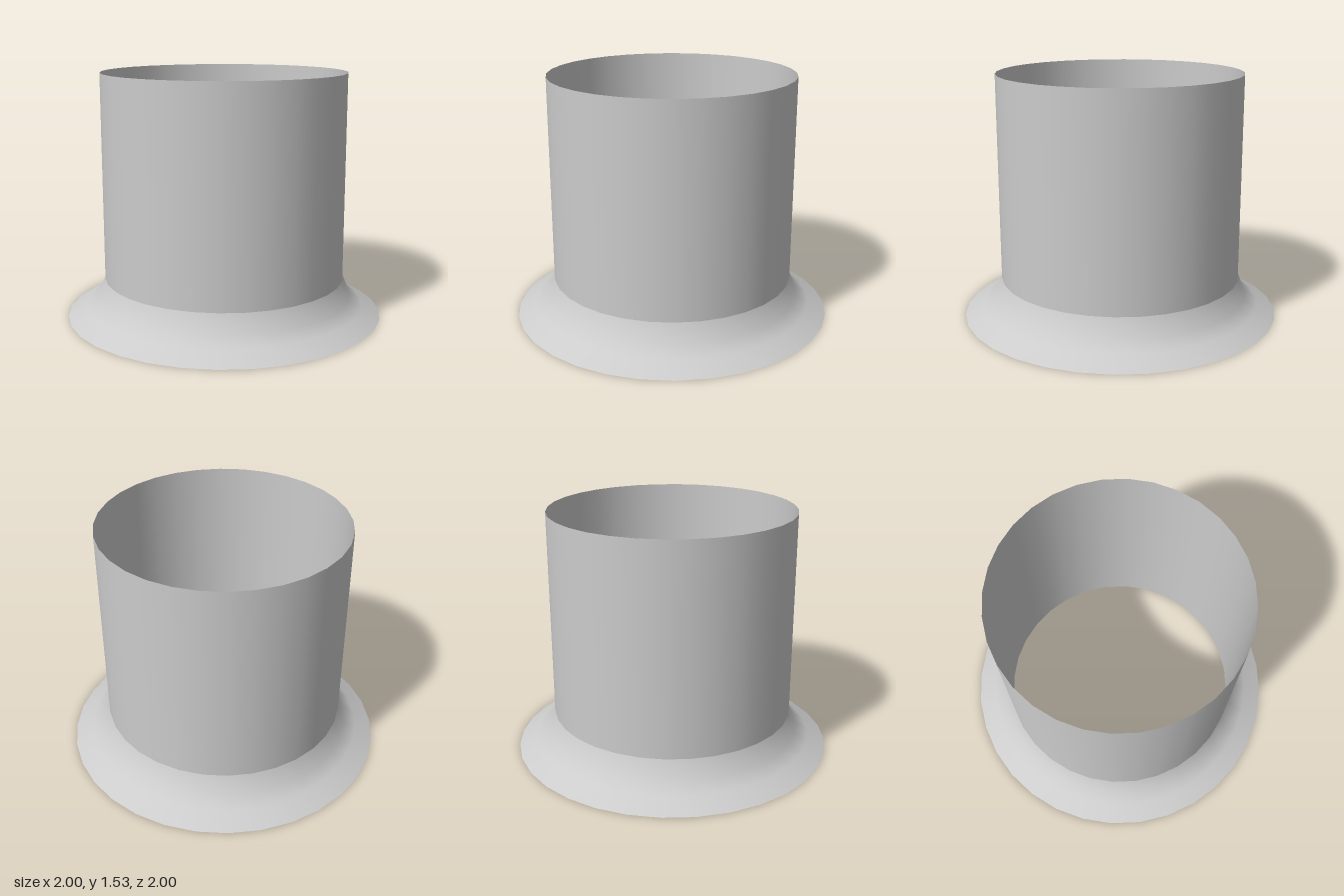
import * as THREE from 'three';

const SEGMENTS = 32;
const material = new THREE.MeshStandardMaterial({ color: 0xcccccc, side: THREE.DoubleSide });

// Revolve a profile of [radius, height] points listed from bottom to top
function revolve(name, profile) {
  const points = profile.map(([r, y]) => new THREE.Vector2(r, y));
  const mesh = new THREE.Mesh(new THREE.LatheGeometry(points, SEGMENTS), material);
  mesh.name = name;
  return mesh;
}

export function createModel() {
  const group = new THREE.Group();
  group.name = 'flangedPipe';

  // Thin straight tube, open at both ends
  group.add(revolve('tube', [[0.762, 0], [0.762, 1.53]]));

  // Flared skirt around the foot of the tube, hollow underneath
  group.add(revolve('flaredSkirt', [[1, 0], [0.885, 0.065], [0.81, 0.12], [0.762, 0.235]]));

  return group;
}
